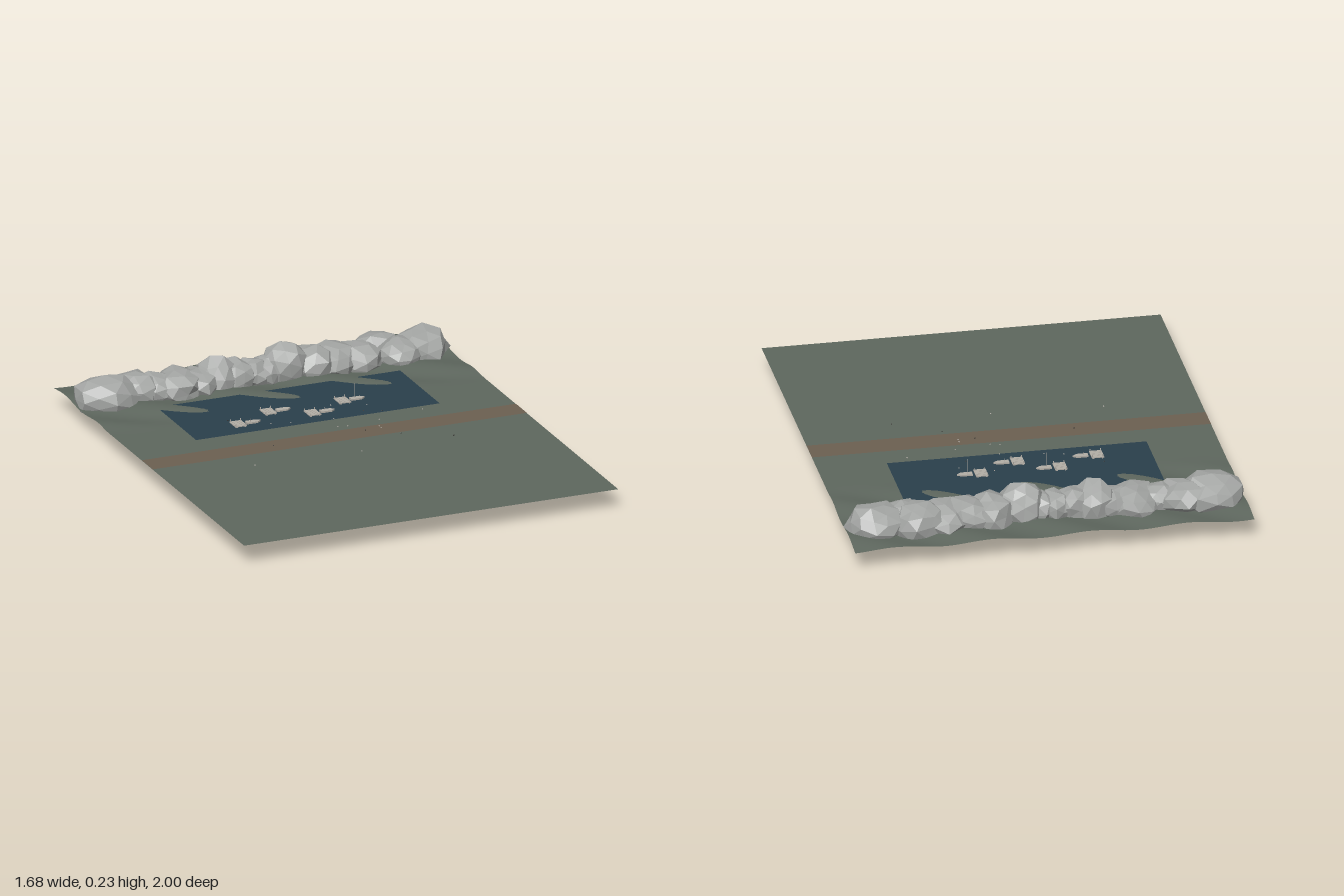
import * as THREE from 'three';

const mat = (name, color, side = THREE.FrontSide) => {
  const m = new THREE.MeshStandardMaterial({ color, side });
  m.name = name;
  return m;
};

export function createModel() {
  const model = new THREE.Group();
  const ground = mat('moss ground', 0x5e675e, THREE.DoubleSide);
  const water = mat('deep water', 0x2a3f4b, THREE.DoubleSide);
  const dirt = mat('dirt track', 0x6c6051, THREE.DoubleSide);
  const stone = mat('grey stone', 0xa3a5a3);
  stone.flatShading = true;
  const timber = mat('pale timber', 0xb3aea6);
  const dark = mat('dark pebble', 0x35332f);

  const add = (parent, name, geometry, material, x = 0, y = 0, z = 0) => {
    const mesh = new THREE.Mesh(geometry, material);
    mesh.name = name;
    mesh.position.set(x, y, z);
    parent.add(mesh);
    return mesh;
  };

  // Land sheet: flat in front, diagonal ripples growing towards the back
  const FLAT = 0.095;
  const land = new THREE.PlaneGeometry(1.675, 2, 90, 120).rotateX(-Math.PI / 2);
  const p = land.attributes.position;
  for (let i = 0; i < p.count; i++) {
    const x = p.getX(i) + 0.005, z = p.getZ(i);
    const ramp = 1 - THREE.MathUtils.smoothstep(z, -0.56, -0.36);
    const phase = (x + 0.11 - 1.15 * (z + 0.61)) / 0.41;
    p.setY(i, 0.007 * ramp * Math.cos(phase * Math.PI * 2));
  }
  land.computeVertexNormals();
  add(model, 'land', land, ground, 0.005, FLAT, 0);

  // Lake and track lie just over the land; the ripples break through the lake
  const sheet = (w, d) => new THREE.PlaneGeometry(w, d).rotateX(-Math.PI / 2);
  add(model, 'lake', sheet(1.09, 0.415), water, 0.007, FLAT + 0.0045, -0.4025);
  add(model, 'track', sheet(1.675, 0.115), dirt, 0.005, FLAT + 0.0015, -0.017);

  // Rock ridge: x, z, half width, half depth, bottom, top
  const rocks = [
    [-0.70, -0.775, 0.155, 0.14, 0.03, 0.21], [-0.57, -0.79, 0.12, 0.11, 0.04, 0.205],
    [-0.47, -0.77, 0.10, 0.10, 0.04, 0.19], [-0.37, -0.78, 0.12, 0.14, 0.035, 0.195],
    [-0.28, -0.77, 0.10, 0.11, 0.03, 0.185], [-0.20, -0.78, 0.09, 0.10, 0, 0.232],
    [-0.12, -0.77, 0.09, 0.095, 0.03, 0.205], [-0.04, -0.775, 0.085, 0.09, 0.04, 0.195],
    [0.03, -0.77, 0.08, 0.085, 0.04, 0.205], [0.10, -0.77, 0.105, 0.09, 0.02, 0.24],
    [0.23, -0.78, 0.11, 0.12, 0.025, 0.21], [0.33, -0.78, 0.11, 0.12, 0.04, 0.2],
    [0.43, -0.78, 0.12, 0.135, 0.035, 0.19], [0.54, -0.82, 0.115, 0.11, 0.02, 0.212],
    [0.60, -0.75, 0.11, 0.10, 0.04, 0.195], [0.72, -0.79, 0.13, 0.125, 0.03, 0.21],
  ];
  const ridge = new THREE.Group();
  ridge.name = 'rockRidge';
  model.add(ridge);
  const v = new THREE.Vector3();
  rocks.forEach(([x, z, rx, rz, y0, y1], n) => {
    const g = new THREE.IcosahedronGeometry(1, 1).rotateY(n * 1.7).rotateX(n * 0.9);
    const q = g.attributes.position;
    for (let i = 0; i < q.count; i++) {
      v.fromBufferAttribute(q, i);
      // Same direction gives the same dent, so shared corners stay closed
      const s = Math.sin(Math.round(v.x * 50) * 1.3 + Math.round(v.y * 50) * 2.9
        + Math.round(v.z * 50) * 4.7 + n * 7.1);
      v.multiplyScalar(0.93 + 0.1 * s);
      q.setXYZ(i, v.x * rx, v.y * (y1 - y0) / 2, v.z * rz);
    }
    g.computeVertexNormals();
    add(ridge, 'rock', g, stone, x, (y0 + y1) / 2, z);
  });

  // Moored rafts: slatted deck, slim boat alongside, posts and a mast
  const raft = (x, z, mastHeight) => {
    const g = new THREE.Group();
    g.name = 'raft';
    g.position.set(x, 0.1, z);
    model.add(g);
    for (let i = 0; i < 5; i++) {
      add(g, 'deckSlat', new THREE.BoxGeometry(0.052, 0.004, 0.0115), timber, 0, 0.005, (i - 2) * 0.0135);
    }
    for (const s of [-1, 1]) {
      add(g, 'deckBeam', new THREE.BoxGeometry(0.005, 0.004, 0.066), timber, s * 0.018, 0.002, 0);
      for (const t of [-1, 1]) {
        add(g, 'post', new THREE.BoxGeometry(0.003, 0.016, 0.003), timber, s * 0.022, 0.008, t * 0.029);
      }
    }
    const hull = new THREE.Shape([[0.036, -0.013], [0.082, -0.013], [0.1, 0], [0.082, 0.013], [0.036, 0.013]]
      .map(([a, b]) => new THREE.Vector2(a, b)));
    const hullGeo = new THREE.ExtrudeGeometry(hull, { depth: 0.007, bevelEnabled: false }).rotateX(-Math.PI / 2);
    add(g, 'boat', hullGeo, timber, 0, 0.001, 0);
    add(g, 'mast', new THREE.CylinderGeometry(0.001, 0.001, mastHeight, 6), timber, 0.055, mastHeight / 2, 0);
  };
  raft(-0.31, -0.288, 0.02);
  raft(0.022, -0.288, 0.02);
  raft(-0.14, -0.372, 0.072);
  raft(0.192, -0.372, 0.072);

  // Scattered pebbles on the track and around the lake
  const pebbles = [
    [-0.27, -0.01], [0.06, -0.11], [0.1, -0.1], [0.15, -0.03], [0.22, -0.05], [0.22, -0.03], [0.27, 0.06],
    [0.04, 0.19], [-0.43, 0.17], [0.46, 0.17], [0.46, -0.16], [-0.1, -0.23], [-0.33, -0.35], [0.08, -0.2],
    [0.25, -0.12], [0.23, -0.24], [0.27, -0.3], [-0.18, -0.25], [0.3, -0.21], [0.13, -0.35],
  ];
  const pebble = new THREE.IcosahedronGeometry(0.003, 0);
  pebbles.forEach(([x, z], i) => add(model, 'pebble', pebble, i % 3 ? timber : dark, x, 0.1, z));

  return model;
}
